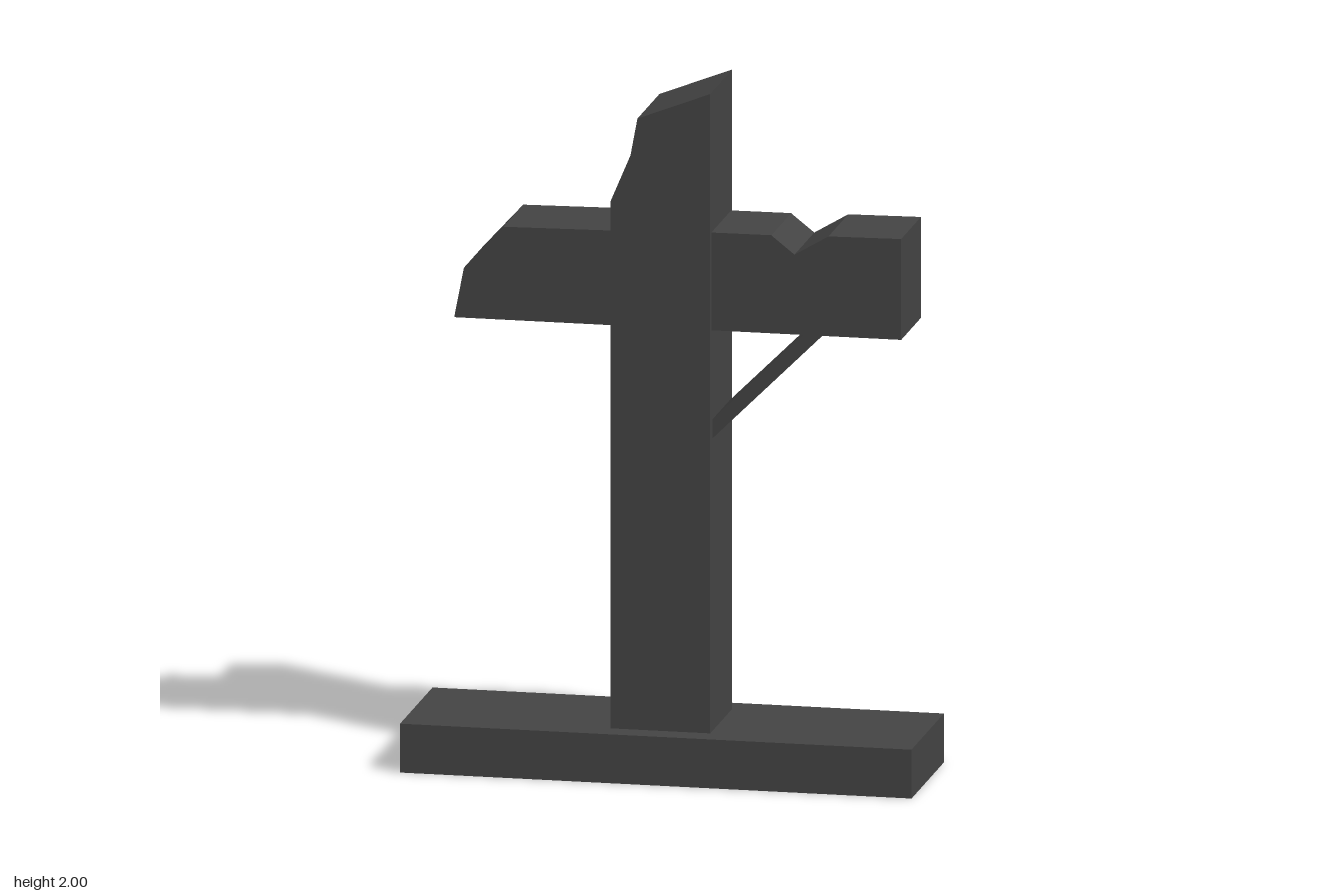
import * as THREE from 'three';

const material = new THREE.MeshStandardMaterial({ color: 0x444444, flatShading: true });

// Timber cut from a front outline, centred on z = 0
function timber(name, outline, depth) {
  const shape = new THREE.Shape(outline.map(([x, y]) => new THREE.Vector2(x, y)));
  const geometry = new THREE.ExtrudeGeometry(shape, { depth, bevelEnabled: false });
  geometry.translate(0, 0, -depth / 2);
  const mesh = new THREE.Mesh(geometry, material);
  mesh.name = name;
  return mesh;
}

export function createModel() {
  const group = new THREE.Group();
  group.name = 'brokenSignpost';

  // Flat plinth
  const base = new THREE.Mesh(new THREE.BoxGeometry(1.476, 0.142, 0.438), material);
  base.name = 'base';
  base.position.y = 0.071;
  group.add(base);

  // Upright with splintered top
  group.add(timber('post', [
    [-0.145, 0.14], [0.142, 0.14], [0.142, 2], [-0.068, 1.918], [-0.088, 1.81], [-0.145, 1.675],
  ], 0.298));

  // Crossbeam with a chipped left end and a notch on the right
  group.add(timber('crossbeam', [
    [-0.6, 1.31], [0.69, 1.31], [0.69, 1.603], [0.48, 1.6], [0.382, 1.542], [0.315, 1.595],
    [0.142, 1.594], [-0.145, 1.585], [-0.458, 1.58], [-0.572, 1.455],
  ], 0.268));

  // Diagonal board between post and crossbeam
  group.add(timber('brace', [
    [0.14, 0.99], [0.465, 1.312], [0.41, 1.312], [0.14, 1.045],
  ], 0.24));

  return group;
}
